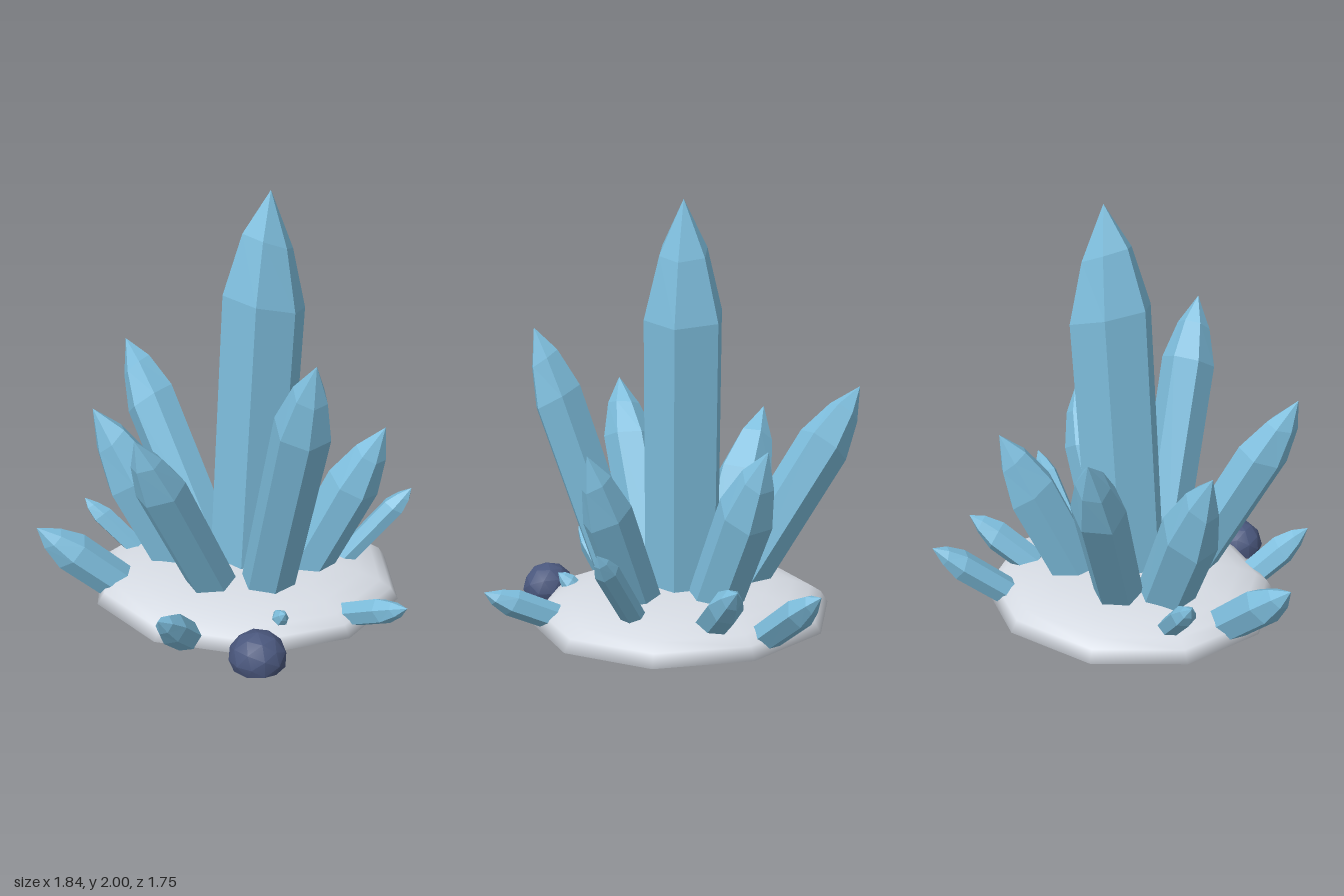
import * as THREE from 'three';
import { toCreasedNormals } from 'three/addons/utils/BufferGeometryUtils.js';

const material = (name, color, extra = {}) =>
  Object.assign(new THREE.MeshStandardMaterial({ color, ...extra }), { name });

// Six-sided prism with a two-step point and a blunt root, running from base to tip
function crystal(name, base, tip, r, mat, spin = 0, capScale = 2.6) {
  const a = new THREE.Vector3(...base), axis = new THREE.Vector3(...tip).sub(a);
  const len = axis.length(), cap = Math.min(r * capScale, len * 0.55);
  const profile = [[0, 0], [r * 0.65, r * 0.1], [r * 0.97, r * 0.4], [r, len - cap],
    [r * 0.61, len - cap * 0.45], [0, len]].map(([x, y]) => new THREE.Vector2(x, y));
  const geo = new THREE.LatheGeometry(profile, 6);
  // Slight unevenness so the facets differ
  const p = geo.attributes.position, seed = base[0] * 9 + base[2] * 5;
  for (let i = 0; i < p.count; i++) {
    const x = p.getX(i), y = p.getY(i), z = p.getZ(i);
    if (Math.hypot(x, z) < 1e-5) continue;
    const t = Math.atan2(x, z), k = 1 + 0.06 * Math.cos(2 * t + seed);
    const lift = y > r ? 0.18 * r * Math.cos(t + seed) : 0;
    p.setXYZ(i, x * k, y + lift, z * k);
  }
  geo.rotateY(spin);
  geo.computeVertexNormals();
  const mesh = new THREE.Mesh(geo, mat);
  mesh.name = name;
  mesh.position.copy(a);
  mesh.quaternion.setFromUnitVectors(new THREE.Vector3(0, 1, 0), axis.normalize());
  return mesh;
}

// Softly faceted stone, cut flat at the ground
function boulder(name, x, y, z, r, mat) {
  const geo = new THREE.IcosahedronGeometry(r, 1);
  geo.rotateY(x * 4 + 0.3);
  geo.scale(1.08, 1, 1);
  geo.translate(x, y, z);
  const p = geo.attributes.position;
  for (let i = 0; i < p.count; i++) p.setY(i, Math.max(0, p.getY(i)));
  const mesh = new THREE.Mesh(toCreasedNormals(geo, 0.5), mat);
  mesh.name = name;
  return mesh;
}

export function createModel() {
  const group = new THREE.Group();
  group.name = 'crystalCluster';
  const blue = material('crystalBlue', 0x7dbddc, { flatShading: true });
  const grey = material('rockGrey', 0xd6dbe3, { side: THREE.DoubleSide });
  const navy = material('boulderNavy', 0x4a577d);

  // Hollow rock dome with a rolled-in rim, smooth all over
  const profile = [[0.6, 0.012], [0.68, 0.003], [0.74, 0.025], [0.705, 0.08], [0.65, 0.115],
    [0.56, 0.145], [0.44, 0.17], [0.25, 0.188], [0, 0.192]]
    .map(([x, y]) => new THREE.Vector2(x, y));
  const domeGeo = new THREE.LatheGeometry(profile, 10);
  domeGeo.scale(1.045, 1, 0.96);
  const dome = new THREE.Mesh(domeGeo, grey);
  dome.name = 'rockBase';
  dome.position.x = 0.1;
  group.add(dome);

  // Tall crystals: base, tip, radius, spin
  const large = [
    ['mainCrystal', [0.11, 0.06, 0.0], [0.206, 2.0, -0.06], 0.202, -0.25],
    ['frontTallCrystal', [0.18, 0.08, 0.25], [0.36, 1.4, 0.65], 0.132, 0.2],
    ['backRightCrystal', [-0.06, 0.08, -0.17], [-0.5, 1.09, -0.67], 0.13, 0.3],
    ['rightCrystal', [-0.2, 0.08, -0.03], [-0.645, 0.925, -0.1], 0.15, 0.1],
    ['frontRightCrystal', [-0.045, 0.08, 0.22], [-0.42, 1.06, 0.63], 0.125, 0.5],
    ['leftCrystal', [0.35, 0.08, 0.09], [0.75, 0.905, 0.14], 0.125, 0.4],
    ['backLeftCrystal', [0.22, 0.08, -0.2], [0.385, 0.92, -0.56], 0.13, 0.1],
  ];
  for (const [name, base, tip, r, spin] of large)
    group.add(crystal(name, base, tip, r, blue, spin));

  // Small crystals around the rim
  const small = [
    [[-0.5, 0.045, 0.09], [-0.92, 0.405, 0.14], 0.094],
    [[-0.43, 0.1, -0.18], [-0.715, 0.365, -0.27], 0.055],
    [[0.57, 0.12, 0.0], [0.915, 0.52, 0.0], 0.055],
    [[0.375, 0.055, -0.53], [0.54, 0.35, -0.873], 0.073],
    [[0.46, 0.1, -0.31], [0.71, 0.373, -0.56], 0.076],
    [[0.54, 0.06, 0.42], [0.8, 0.23, 0.665], 0.064],
    [[-0.19, 0.035, 0.56], [-0.33, 0.285, 0.83], 0.074],
    [[0.22, 0.09, 0.52], [0.25, 0.18, 0.61], 0.042],
  ];
  small.forEach(([base, tip, r], i) =>
    group.add(crystal(`smallCrystal${i + 1}`, base, tip, r, blue, i * 0.4, 2.3)));

  // Stones: one outside at the front, the rest under the dome
  group.add(
    boulder('frontBoulder', 0.115, 0.05, 0.753, 0.125, navy),
    boulder('hiddenBoulder1', -0.27, 0.02, 0.45, 0.105, navy),
    boulder('hiddenBoulder2', -0.5, 0.03, -0.04, 0.085, navy),
    boulder('hiddenBoulder3', 0.35, 0.08, -0.22, 0.085, navy),
  );
  return group;
}
